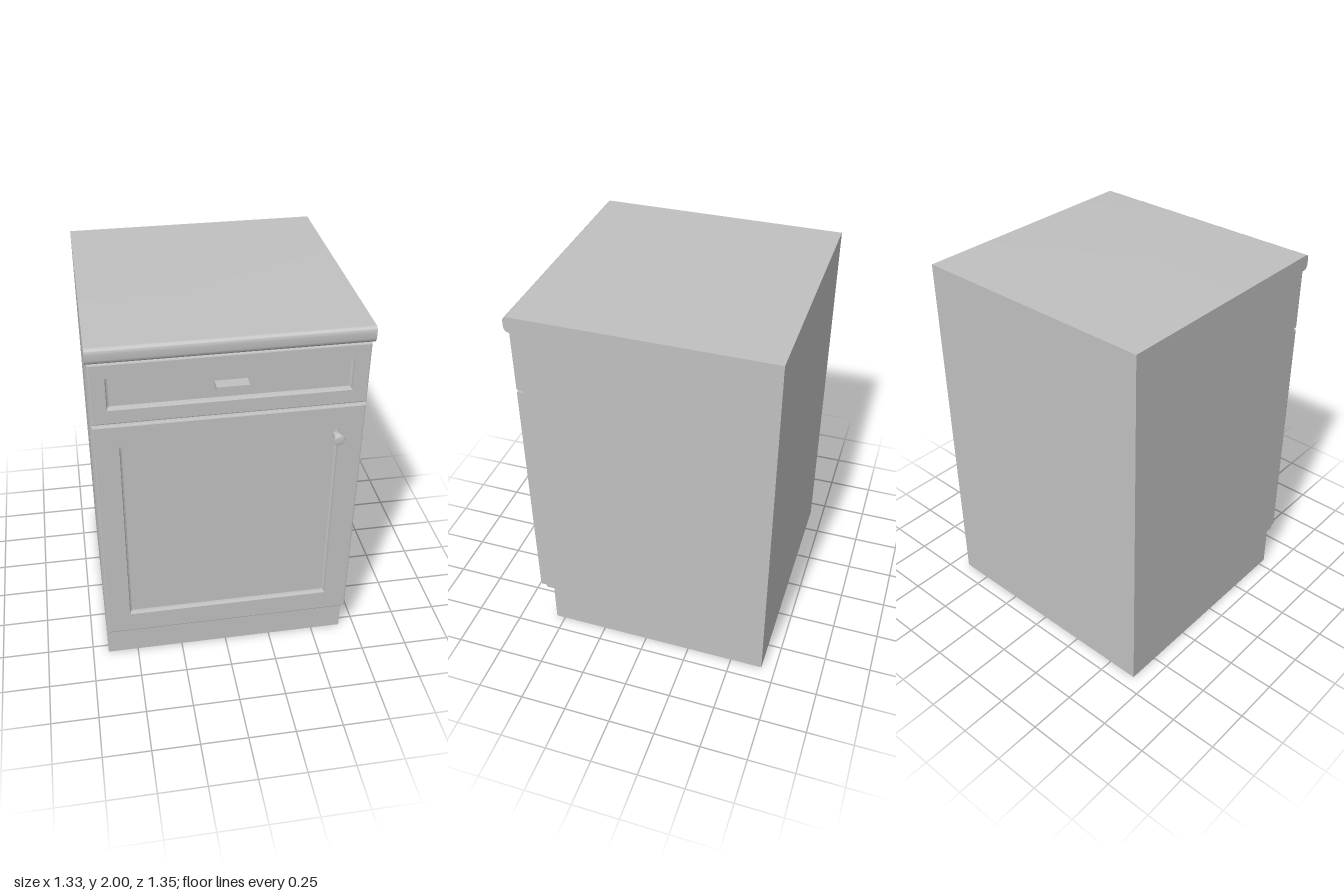
import * as THREE from 'three';
import { toCreasedNormals } from 'three/addons/utils/BufferGeometryUtils.js';

const HALF_W = 0.665;
const BACK = -0.675;

// Extrude a side profile (z, y) across the full cabinet width.
function sideExtrusion(shape) {
  const geo = new THREE.ExtrudeGeometry(shape, { depth: HALF_W * 2, bevelEnabled: false, curveSegments: 8 });
  geo.rotateY(-Math.PI / 2);
  geo.translate(HALF_W, 0, 0);
  return toCreasedNormals(geo, 0.6);
}

// Framed panel: nested rectangles, each [inset, z], from the back edge to the sunken centre.
function framedPanel(halfW, y0, y1, frame) {
  const rows = [
    [0, 0.595], [0, 0.628], [0.002, 0.633], [0.007, 0.635],
    [frame, 0.635], [frame + 0.004, 0.618], [frame + 0.012, 0.614],
  ];
  const rects = rows.map(([i, z]) => [
    [-halfW + i, y0 + i, z], [halfW - i, y0 + i, z],
    [halfW - i, y1 - i, z], [-halfW + i, y1 - i, z],
  ]);
  const pos = [];
  const quad = (a, b, c, d) => pos.push(...a, ...b, ...c, ...a, ...c, ...d);
  for (let r = 0; r < rects.length - 1; r++) {
    for (let k = 0; k < 4; k++) {
      const n = (k + 1) % 4;
      quad(rects[r][k], rects[r][n], rects[r + 1][n], rects[r + 1][k]);
    }
  }
  const last = rects[rects.length - 1];
  quad(last[0], last[1], last[2], last[3]);
  const first = rects[0];
  quad(first[3], first[2], first[1], first[0]);
  const geo = new THREE.BufferGeometry();
  geo.setAttribute('position', new THREE.Float32BufferAttribute(pos, 3));
  geo.computeVertexNormals();
  return geo;
}

export function createModel() {
  const model = new THREE.Group();
  model.name = 'baseCabinet';
  const grey = new THREE.MeshStandardMaterial({ color: 0xc0c0c0 });
  grey.name = 'light grey';

  const add = (name, geo) => {
    const mesh = new THREE.Mesh(geo, grey);
    mesh.name = name;
    model.add(mesh);
    return mesh;
  };

  // Carcass with recessed toe kick
  const carcass = new THREE.Shape();
  carcass.moveTo(BACK, 0);
  carcass.lineTo(0.55, 0);
  carcass.lineTo(0.55, 0.228);
  carcass.lineTo(0.595, 0.228);
  carcass.lineTo(0.595, 1.917);
  carcass.lineTo(BACK, 1.917);
  carcass.closePath();
  add('carcass', sideExtrusion(carcass));

  // Worktop with a rounded nose
  const top = new THREE.Shape();
  top.moveTo(BACK, 1.917);
  top.lineTo(0.635, 1.917);
  top.quadraticCurveTo(0.655, 1.925, 0.656, 1.948);
  top.lineTo(0.656, 1.975);
  top.quadraticCurveTo(0.655, 2, 0.632, 2);
  top.lineTo(BACK, 2);
  top.closePath();
  add('worktop', sideExtrusion(top));

  // Door and drawer front
  add('door', framedPanel(0.657, 0.235, 1.575, 0.122));
  add('drawerFront', framedPanel(0.657, 1.587, 1.91, 0.076));

  // Drawer handle
  const handle = add('drawerHandle', new THREE.BoxGeometry(0.156, 0.032, 0.061));
  handle.position.set(0, 1.749, 0.6445);

  // Turned door knob
  const profile = [
    [0, 0], [0.022, 0], [0.022, 0.029], [0.015, 0.034], [0.014, 0.04],
    [0.025, 0.045], [0.028, 0.051], [0.025, 0.057], [0.014, 0.06], [0, 0.061],
  ].map(([r, h]) => new THREE.Vector2(r, h));
  const knob = add('doorKnob', toCreasedNormals(new THREE.LatheGeometry(profile, 24), 0.8));
  knob.rotation.x = Math.PI / 2;
  knob.position.set(0.531, 1.398, 0.614);

  return model;
}
